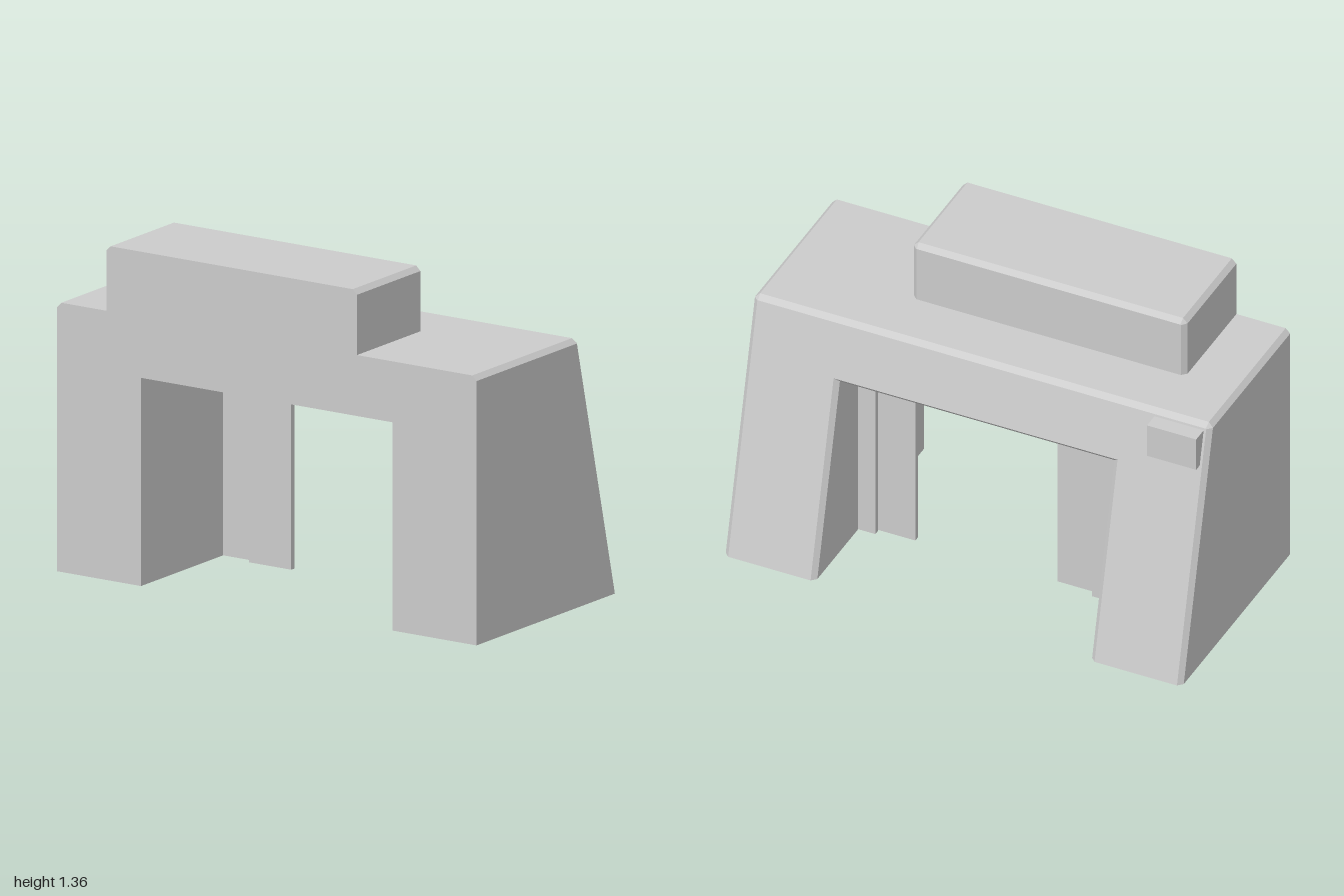
import * as THREE from 'three';

const material = new THREE.MeshStandardMaterial({ color: 0xcccccc, flatShading: true, side: THREE.DoubleSide });
const FRONT = 0.49, BEVEL = 0.02;

// Flat cap over an outline of [x, y] points, each vertex set to depth z(y)
function cap(points, depth, flip) {
  const g = new THREE.ShapeGeometry(new THREE.Shape(points.map(p => new THREE.Vector2(p[0], p[1]))));
  const pos = g.attributes.position;
  for (let i = 0; i < pos.count; i++) pos.setZ(i, depth(pos.getY(i)));
  if (flip) g.setIndex(Array.from(g.index.array).reverse());
  g.computeVertexNormals();
  return g;
}

// Walls between two open outlines of equal length; segments at floor level stay open
function walls(a, za, b, zb, floor) {
  const v = [];
  for (let i = 0; i < a.length; i++) {
    const j = (i + 1) % a.length;
    if (a[i][1] === floor && a[j][1] === floor) continue;
    const p = [...a[i], za(a[i][1])], q = [...a[j], za(a[j][1])];
    const r = [...b[j], zb(b[j][1])], s = [...b[i], zb(b[i][1])];
    v.push(...p, ...s, ...q, ...q, ...s, ...r);
  }
  const g = new THREE.BufferGeometry();
  g.setAttribute('position', new THREE.Float32BufferAttribute(v, 3));
  g.computeVertexNormals();
  return g;
}

// Open-bottomed shell: flat front, straight walls, bevelled rim, back plane at back(y)
function shell(name, front, rim, inset, back, floor) {
  const group = new THREE.Group();
  group.name = name;
  const zFront = () => FRONT, zRim = y => back(y) + BEVEL;
  const parts = {
    Front: cap(front, zFront, false),
    Walls: walls(front, zFront, rim, zRim, floor),
    Bevel: walls(rim, zRim, inset, back, floor),
    Back: cap(inset, back, true),
  };
  for (const [part, g] of Object.entries(parts)) {
    const m = new THREE.Mesh(g, material);
    m.name = name + part;
    group.add(m);
  }
  return group;
}

function box(name, x0, x1, y0, y1, z0, z1) {
  const m = new THREE.Mesh(new THREE.BoxGeometry(x1 - x0, y1 - y0, z1 - z0), material);
  m.position.set((x0 + x1) / 2, (y0 + y1) / 2, (z0 + z1) / 2);
  m.name = name;
  return m;
}

// Arch outline: two legs and a lintel with clipped top corners
function arch(outer, top, clip, inner, ceiling) {
  return [
    [inner, 0], [outer, 0], [outer, top - clip], [outer - clip, top],
    [clip - outer, top], [-outer, top - clip], [-outer, 0], [-inner, 0],
    [-inner, ceiling], [inner, ceiling],
  ];
}

// Block outline with clipped top corners
function block(x0, x1, y0, y1, clip) {
  return [[x1, y0], [x1, y1 - clip], [x1 - clip, y1], [x0 + clip, y1], [x0, y1 - clip], [x0, y0]];
}

export function createModel() {
  const model = new THREE.Group();
  model.name = 'gatehouse';

  // Main arch with sloping back and a slightly falling ceiling
  model.add(shell('arch',
    arch(1, 1.095, BEVEL, 0.6, 0.847),
    arch(1, 1.095, BEVEL, 0.6, 0.83),
    arch(0.98, 1.077, 0.002, 0.62, 0.848),
    y => -0.49 + 0.245 * y, 0));

  // Raised roof block, flush with the front
  model.add(shell('roofBlock',
    block(-0.765, 0.43, 1.095, 1.36, BEVEL),
    block(-0.765, 0.43, 1.095, 1.36, BEVEL),
    block(-0.745, 0.41, 1.095, 1.34, 0.002),
    () => 0.03, 1.095));

  // Sliding door leaves, two on each side of the passage
  model.add(box('rightInnerDoor', -0.455, -0.255, 0, 0.84, -0.072, -0.05));
  model.add(box('rightOuterDoor', -0.6, -0.42, 0, 0.84, -0.102, -0.08));
  model.add(box('leftInnerDoor', 0.365, 0.56, 0, 0.84, -0.072, -0.05));
  model.add(box('leftOuterDoor', 0.525, 0.6, 0, 0.84, -0.102, -0.08));

  // Small housing on the upper back
  model.add(box('backHousing', -0.97, -0.755, 0.92, 1.068, -0.296, -0.22));
  return model;
}
